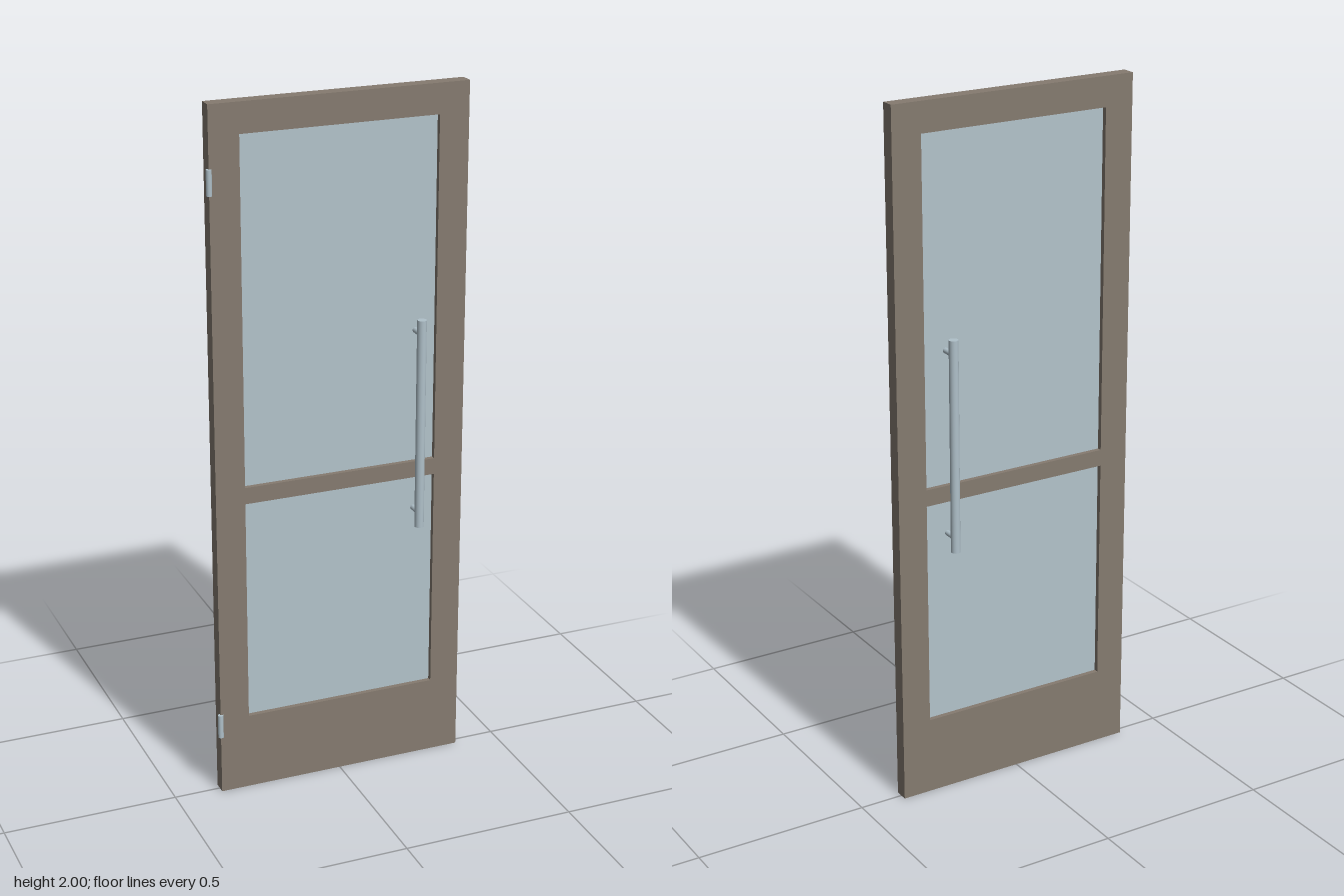
import * as THREE from 'three';

export function createModel() {
  const door = new THREE.Group();
  door.name = 'glazedDoor';

  const material = (name, color) => {
    const m = new THREE.MeshStandardMaterial({ color });
    m.name = name;
    return m;
  };
  const frameBrown = material('frameBrown', 0x857b70);
  const paneBlue = material('paneBlue', 0xb3c3cb);
  const steel = material('steel', 0xb0c1ca);

  const add = (parent, name, geometry, mat, x = 0, y = 0, z = 0) => {
    const mesh = new THREE.Mesh(geometry, mat);
    mesh.name = name;
    mesh.position.set(x, y, z);
    parent.add(mesh);
    return mesh;
  };

  // Leaf outline and its two openings, as [left, bottom, right, top]
  const depth = 0.04;
  const leaf = [-0.365, 0, 0.373, 2];
  const openings = {
    upperPane: [-0.28, 0.93, 0.287, 1.915],
    lowerPane: [-0.28, 0.227, 0.287, 0.882],
  };
  const rectangle = (path, [l, b, r, t]) =>
    path.moveTo(l, b).lineTo(r, b).lineTo(r, t).lineTo(l, t).closePath();

  // Frame with stiles, rails and the middle bar in one piece
  const outline = rectangle(new THREE.Shape(), leaf);
  for (const o of Object.values(openings)) outline.holes.push(rectangle(new THREE.Path(), o));
  const frame = new THREE.ExtrudeGeometry(outline, { depth, bevelEnabled: false });
  add(door, 'frame', frame, frameBrown, 0, 0, -depth / 2);

  // Recessed glass panes
  for (const [name, [l, b, r, t]] of Object.entries(openings)) {
    add(door, name, new THREE.BoxGeometry(r - l, t - b, 0.012), paneBlue, (l + r) / 2, (b + t) / 2, 0);
  }

  // Pull bars on both faces, each on two standoffs
  const handleX = 0.223, barZ = 0.064;
  for (const [side, name] of [[1, 'frontHandle'], [-1, 'backHandle']]) {
    const handle = new THREE.Group();
    handle.name = name;
    add(handle, 'pullBar', new THREE.CylinderGeometry(0.0133, 0.0133, 0.612, 16), steel, handleX, 1.056, side * barZ);
    for (const y of [0.791, 1.32]) {
      const length = barZ - depth / 2;
      const post = new THREE.CylinderGeometry(0.008, 0.008, length, 12).rotateX(Math.PI / 2);
      add(handle, 'standoff', post, steel, handleX, y, side * (depth / 2 + length / 2));
    }
    door.add(handle);
  }

  // Hinge barrels on the front edge
  for (const [name, y] of [['lowerHinge', 0.212], ['upperHinge', 1.795]]) {
    add(door, name, new THREE.CylinderGeometry(0.008, 0.008, 0.07, 12), steel, leaf[0], y, depth / 2);
  }

  return door;
}
